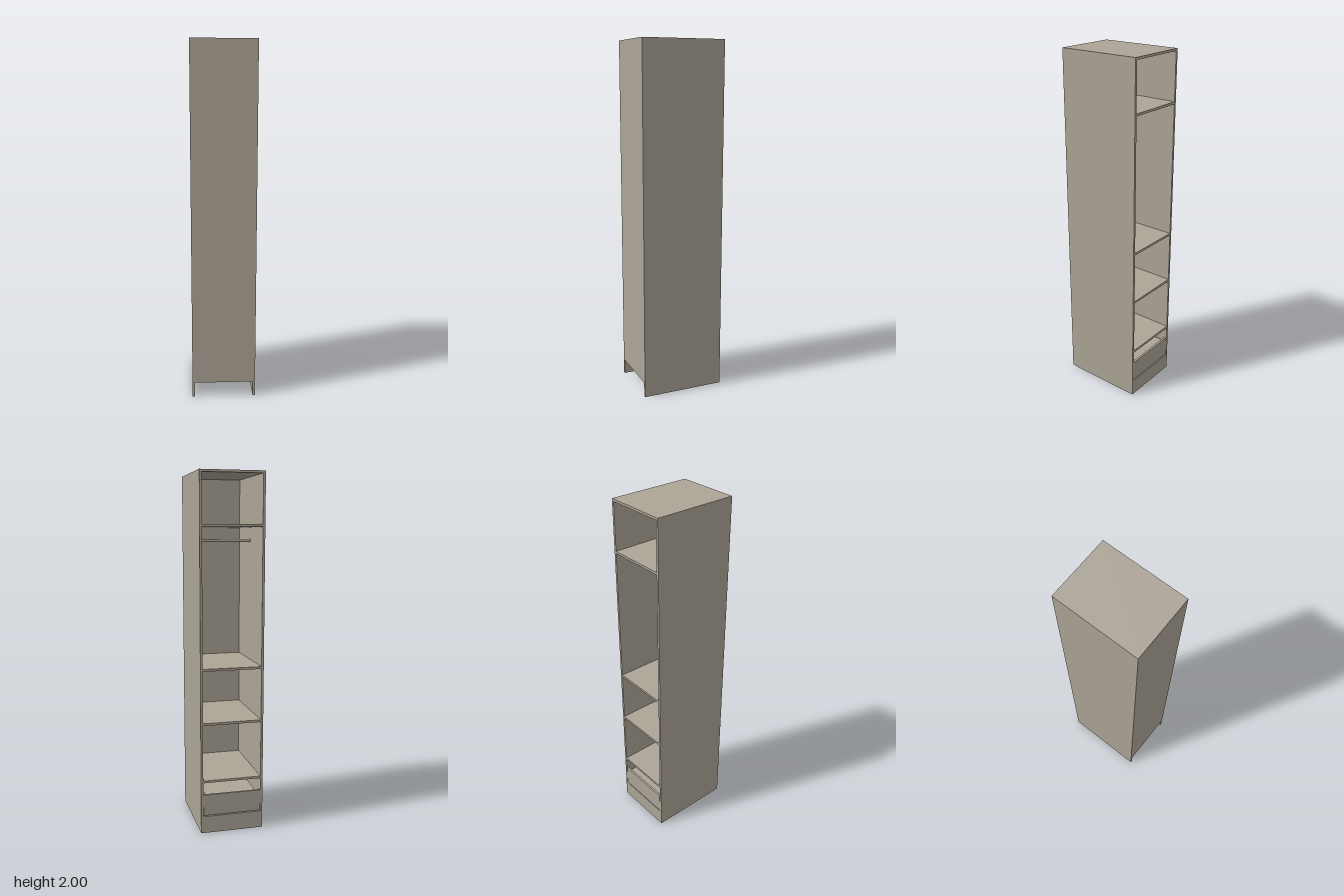
import * as THREE from 'three';

// Tall narrow wardrobe: open face at -z, closed panel at +z
const W = 0.36, H = 2, D = 0.48, T = 0.013;
const BASE = 0.085; // underside of the floor panel

export function createModel() {
  const group = new THREE.Group();
  group.name = 'wardrobe';
  const board = new THREE.MeshStandardMaterial({ color: 0xaca497 });
  board.name = 'taupe board';

  const add = (name, geometry, x, y, z) => {
    const mesh = new THREE.Mesh(geometry, board);
    mesh.name = name;
    mesh.position.set(x, y, z);
    group.add(mesh);
    return mesh;
  };
  const box = (name, w, h, d, x, y, z) => add(name, new THREE.BoxGeometry(w, h, d), x, y, z);

  const innerW = W - 2 * T;
  const innerD = D - T;
  const innerZ = -T / 2;

  // Carcass
  for (const [name, s] of [['leftSide', 1], ['rightSide', -1]]) {
    box(name, T, H, D, s * (W - T) / 2, H / 2, 0);
  }
  box('topPanel', innerW, T, D, 0, H - T / 2, 0);
  box('closedPanel', innerW, H - T - BASE, T, 0, (H - T + BASE) / 2, (D - T) / 2);
  box('floorPanel', innerW, T, innerD, 0, BASE + T / 2, innerZ);
  box('plinth', innerW, BASE, T, 0, BASE / 2, -(D - T) / 2);

  // Shelves
  for (const y of [1.715, 0.94, 0.635, 0.303]) {
    box('shelf', innerW, T, innerD, 0, y, innerZ);
  }

  // Hanging rail under the upper shelf
  add('hangingRail', new THREE.CylinderGeometry(0.008, 0.008, innerW, 20), 0, 1.634, 0)
    .rotation.z = Math.PI / 2;

  // Drawer: front board and narrower body
  box('drawerFront', innerW - 0.004, 0.122, T, 0, 0.165, -(D - T) / 2);
  box('drawerBody', innerW - 0.04, 0.105, innerD - T - 0.02, 0, 0.161, -0.01);

  return group;
}
